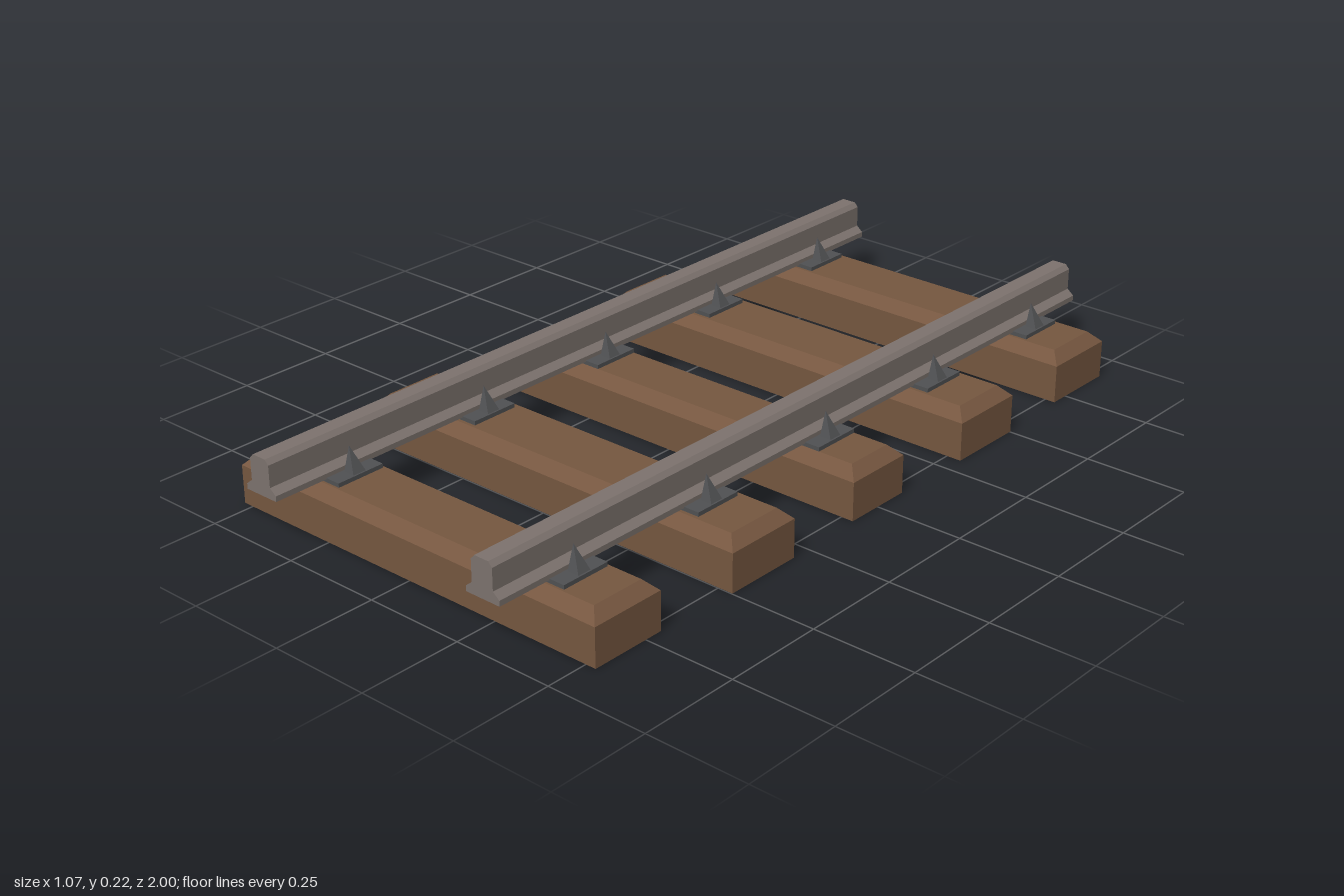
import * as THREE from 'three';

const wood = new THREE.MeshStandardMaterial({ color: 0x765740, flatShading: true });
wood.name = 'wood brown';
const steel = new THREE.MeshStandardMaterial({ color: 0x7d736e, flatShading: true });
steel.name = 'rail steel';
const iron = new THREE.MeshStandardMaterial({ color: 0x505153, flatShading: true });
iron.name = 'dark iron';

const TIE_TOP = 0.12, PLATE_TOP = 0.13, RAIL_X = 0.329;

function addMesh(parent, name, geometry, material, x = 0, y = 0, z = 0) {
  const mesh = new THREE.Mesh(geometry, material);
  mesh.name = name;
  mesh.position.set(x, y, z);
  parent.add(mesh);
  return mesh;
}

// Wooden beam with a chamfer around its top edge
function tieGeometry(halfX, halfZ) {
  const bevel = 0.027;
  const geo = new THREE.BoxGeometry(halfX * 2, 2, halfZ * 2, 1, 2, 1);
  const p = geo.attributes.position;
  for (let i = 0; i < p.count; i++) {
    const level = Math.round(p.getY(i));
    p.setY(i, [0, TIE_TOP - bevel, TIE_TOP][level + 1]);
    if (level === 1) {
      p.setX(i, Math.sign(p.getX(i)) * (halfX - bevel));
      p.setZ(i, Math.sign(p.getZ(i)) * (halfZ - bevel));
    }
  }
  const flat = geo.toNonIndexed();
  flat.computeVertexNormals();
  return flat;
}

// Rail section: sloped foot, straight web, chamfered head
function railGeometry() {
  const half = [[0.046, 0.127], [0.046, 0.14], [0.029, 0.154], [0.029, 0.206], [0.019, 0.217]];
  const outline = [...half, ...half.map(([x, y]) => [-x, y]).reverse()];
  const shape = new THREE.Shape(outline.map(([x, y]) => new THREE.Vector2(x, y)));
  return new THREE.ExtrudeGeometry(shape, { depth: 2, bevelEnabled: false }).translate(0, 0, -1);
}

// Spike: pyramid whose tip stands over its edge nearest the rail
function spikeGeometry() {
  const height = 0.058, width = 0.03;
  const geo = new THREE.BoxGeometry(width, height, 0.036).translate(width / 2, height / 2, 0);
  const p = geo.attributes.position;
  for (let i = 0; i < p.count; i++) {
    if (p.getY(i) > height / 2) p.setXYZ(i, 0, height, 0);
  }
  const flat = geo.toNonIndexed();
  flat.computeVertexNormals();
  return flat;
}

export function createModel() {
  const track = new THREE.Group();
  track.name = 'railTrack';

  // Centre z, half length and half depth of each tie
  const ties = [
    [-0.802, 0.526, 0.099], [-0.402, 0.537, 0.1], [0, 0.531, 0.089],
    [0.398, 0.537, 0.1], [0.8, 0.526, 0.095],
  ];
  const rail = railGeometry();
  const plate = new THREE.BoxGeometry(0.17, PLATE_TOP - TIE_TOP, 0.125);
  const spike = spikeGeometry();

  ties.forEach(([z, halfX, halfZ], i) => {
    addMesh(track, 'tie' + (i + 1), tieGeometry(halfX, halfZ), wood, 0, 0, z);
    // Plate with a spike on either side of each rail
    for (const side of [-1, 1]) {
      const fastener = new THREE.Group();
      fastener.name = (side > 0 ? 'left' : 'right') + 'Fastener' + (i + 1);
      fastener.position.set(side * RAIL_X, 0, (i - 2) * 0.4);
      track.add(fastener);
      addMesh(fastener, 'plate', plate, iron, 0, (TIE_TOP + PLATE_TOP) / 2, 0);
      addMesh(fastener, 'leftSpike', spike, iron, 0.052, PLATE_TOP - 0.002, 0);
      addMesh(fastener, 'rightSpike', spike, iron, -0.052, PLATE_TOP - 0.002, 0).rotation.y = Math.PI;
    }
  });

  addMesh(track, 'leftRail', rail, steel, RAIL_X);
  addMesh(track, 'rightRail', rail, steel, -RAIL_X);
  return track;
}
